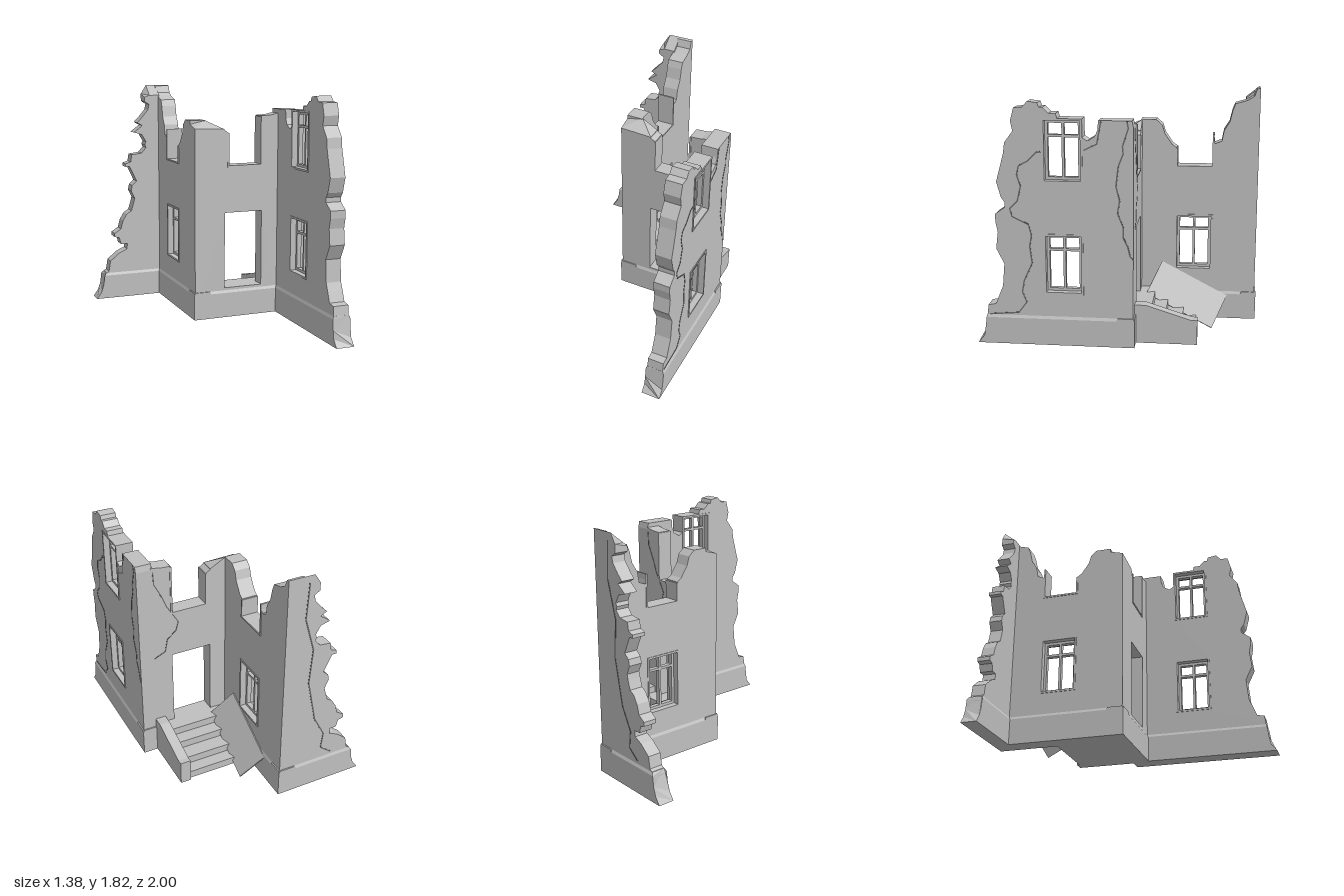
import * as THREE from 'three';
import { ConvexGeometry } from 'three/addons/geometries/ConvexGeometry.js';

const stone = new THREE.MeshStandardMaterial({ color: 0xc0c0c0, flatShading: true });
stone.name = 'pale stone';
const crackGrey = new THREE.MeshStandardMaterial({ color: 0x6c6c6c, flatShading: true });
crackGrey.name = 'crack grey';

const V = (x, y, z) => new THREE.Vector3(x, y, z);
const toShape = pts => new THREE.Shape(pts.map(p => new THREE.Vector2(p[0], p[1])));
const rect = (a0, a1, y0, y1) => [[a0, y0], [a1, y0], [a1, y1], [a0, y1]];

export function createModel() {
  const group = new THREE.Group();

  const add = (name, geometry, material = stone) => {
    const mesh = new THREE.Mesh(geometry, material);
    mesh.name = name;
    group.add(mesh);
    return mesh;
  };

  // Extrudes an upright outline; axis is the direction the wall runs in,
  // from and to are its limits across the thickness.
  const upright = (name, axis, outline, holes, from, to, material) => {
    const shape = toShape(outline);
    holes.forEach(h => shape.holes.push(toShape(h)));
    const geo = new THREE.ExtrudeGeometry(shape, { depth: to - from, bevelEnabled: false });
    if (axis === 'x') geo.translate(0, 0, from);
    else geo.rotateY(-Math.PI / 2).translate(to, 0, 0);
    return add(name, geo, material);
  };

  // Plinth with chamfered top; ends are lengths at each height, so they can be broken
  const heights = [0.045, 0.1, 0.16, 0.24, 0.26];
  const plinth = (name, axis, start, ends, centre, half) => {
    const side = heights.map((y, i) => [i === 4 ? half - 0.01 : half, y]);
    const section = [...side, ...side.map(([w, y]) => [-w, y]).reverse()];
    const geo = new THREE.ExtrudeGeometry(toShape(section), { depth: 1, bevelEnabled: false });
    const mirrored = (axis === 'x') !== (ends[0] < start);
    const p = geo.attributes.position;
    for (let i = 0; i < p.count; i++) {
      const y = p.getY(i), w = p.getX(i);
      const level = heights.findIndex(h => Math.abs(h - y) < 0.001);
      const along = p.getZ(i) > 0.5 ? ends[level] : start;
      if (axis === 'x') p.setXYZ(i, along, y, centre + w);
      else p.setXYZ(i, centre + w, y, along);
    }
    // swapping axes or running backwards turns faces inside out
    if (mirrored) {
      for (let i = 0; i < p.count; i += 3) {
        const a = V().fromBufferAttribute(p, i), b = V().fromBufferAttribute(p, i + 1);
        p.setXYZ(i, b.x, b.y, b.z);
        p.setXYZ(i + 1, a.x, a.y, a.z);
      }
    }
    geo.computeVertexNormals();
    return add(name, geo);
  };
  const whole = end => heights.map(() => end);

  // Casing, sash, mullion and transom
  const windowUnit = (name, a0, a1, y0, y1, from, to) => {
    const c = 0.015, s = 0.035, m = (a0 + a1) / 2, t = y0 + (y1 - y0) * 0.72, b = 0.009;
    upright(name + 'Casing', 'z', rect(a0, a1, y0, y1),
      [rect(a0 + c, a1 - c, y0 + c, y1 - c)], from - 0.005, to + 0.005);
    const panes = [];
    for (const [l, r] of [[a0 + s, m - b], [m + b, a1 - s]])
      for (const [d, u] of [[y0 + s, t - b], [t + b, y1 - s]]) panes.push(rect(l, r, d, u));
    const mid = (from + to) / 2;
    upright(name + 'Sash', 'z', rect(a0 + c, a1 - c, y0 + c, y1 - c), panes, mid - 0.018, mid + 0.018);
  };

  // Sill and broken jambs left from a window
  const brokenCasing = (name, axis, a0, a1, y, top0, top1, from, to) => {
    const c = 0.013;
    upright(name, axis, [[a0, y], [a1, y], [a1, top1], [a1 - c, top1], [a1 - c, y + c],
      [a0 + c, y + c], [a0 + c, top0], [a0, top0]], [], from - 0.005, to + 0.005);
  };

  // Thin ribbon following a crack line
  const crack = (name, axis, pts, from, to, width = 0.01) => {
    const left = [], right = [];
    pts.forEach((p, i) => {
      const a = pts[Math.max(i - 1, 0)], b = pts[Math.min(i + 1, pts.length - 1)];
      const dx = b[0] - a[0], dy = b[1] - a[1], k = width / 2 / Math.hypot(dx, dy);
      left.push([p[0] - dy * k, p[1] + dx * k]);
      right.unshift([p[0] + dy * k, p[1] - dx * k]);
    });
    upright(name, axis, [...left, ...right], [], from, to, crackGrey);
  };

  // Rear wall with a ragged free edge
  const rear = upright('rearWall', 'x', [[-0.12, 0.05], [-0.62, 0.05], [-0.615, 0.23], [-0.605, 0.255],
    [-0.58, 0.275], [-0.565, 0.36], [-0.485, 0.425], [-0.42, 0.455], [-0.415, 0.5], [-0.47, 0.5],
    [-0.485, 0.555], [-0.525, 0.565], [-0.525, 0.595], [-0.47, 0.63], [-0.45, 0.7], [-0.415, 0.755],
    [-0.375, 0.78], [-0.355, 0.845], [-0.345, 0.885], [-0.375, 0.95], [-0.365, 0.995], [-0.325, 1.03],
    [-0.385, 1.155], [-0.42, 1.155], [-0.42, 1.18], [-0.375, 1.195], [-0.365, 1.255], [-0.28, 1.265],
    [-0.24, 1.31], [-0.25, 1.335], [-0.24, 1.36], [-0.275, 1.42], [-0.345, 1.44], [-0.27, 1.495],
    [-0.315, 1.52], [-0.275, 1.56], [-0.22, 1.625], [-0.21, 1.67], [-0.25, 1.695], [-0.25, 1.755],
    [-0.205, 1.825], [-0.12, 1.825]], [], -0.99, -0.89);
  // top slopes down towards the inside
  const rp = rear.geometry.attributes.position;
  for (let i = 0; i < rp.count; i++)
    if (rp.getZ(i) > -0.9 && rp.getY(i) > 1.75) rp.setY(i, rp.getY(i) > 1.8 ? 1.745 : 1.73);
  rear.geometry.computeVertexNormals();
  plinth('rearPlinth', 'x', 0, [-0.69, -0.65, -0.63, -0.62, -0.605], -0.94, 0.06);

  // Middle wall with one whole window and one broken opening
  upright('middleWall', 'z', [[-0.99, 0.05], [-0.11, 0.05], [-0.11, 1.585], [-0.225, 1.585],
    [-0.27, 1.545], [-0.29, 1.48], [-0.345, 1.4], [-0.38, 1.375], [-0.38, 1.23], [-0.655, 1.23],
    [-0.655, 1.47], [-0.665, 1.41], [-0.715, 1.43], [-0.73, 1.51], [-0.77, 1.575], [-0.79, 1.66],
    [-0.81, 1.71], [-0.895, 1.735], [-0.945, 1.765], [-0.965, 1.82], [-0.99, 1.825]],
  [rect(-0.655, -0.38, 0.43, 0.86)], -0.13, -0.01);
  windowUnit('middleWindow', -0.66, -0.375, 0.425, 0.865, -0.13, -0.01);
  brokenCasing('middleBrokenCasing', 'z', -0.66, -0.375, 1.225, 1.48, 1.37, -0.13, -0.01);
  plinth('middlePlinth', 'z', -1, whole(0), -0.07, 0.07);

  // Door wall
  upright('doorWall', 'x', [[-0.13, 0.05], [0.57, 0.05], [0.57, 1.635], [0.5, 1.62], [0.42, 1.615],
    [0.42, 1.235], [0.145, 1.235], [0.145, 1.49], [0.11, 1.515], [0.015, 1.5], [-0.13, 1.525]],
  [rect(0.115, 0.425, 0.28, 0.875)], -0.12, -0.01);
  brokenCasing('doorWallBrokenCasing', 'x', 0.138, 0.427, 1.228, 1.49, 1.61, -0.12, -0.01);
  plinth('doorWallPlinth', 'x', -0.14, whole(0.69), -0.065, 0.065);
  add('brokenCornerCap', new ConvexGeometry([V(-0.13, 1.53, -0.01), V(0.015, 1.505, -0.01),
    V(0.11, 1.52, -0.01), V(0.11, 1.52, -0.12), V(-0.01, 1.585, -0.12), V(-0.13, 1.56, -0.12),
    V(-0.13, 1.48, -0.01), V(0.11, 1.48, -0.01), V(0.11, 1.48, -0.12), V(-0.13, 1.48, -0.12)]));

  // Front wing with two windows and a ragged free edge
  upright('wingWall', 'z', [[-0.12, 0.05], [0.93, 0.05], [0.93, 0.255], [0.92, 0.33], [0.865, 0.34],
    [0.835, 0.415], [0.81, 0.475], [0.795, 0.64], [0.85, 0.75], [0.835, 0.87], [0.85, 0.945],
    [0.85, 1.0], [0.78, 1.05], [0.78, 1.085], [0.805, 1.12], [0.835, 1.23], [0.78, 1.43],
    [0.77, 1.505], [0.71, 1.585], [0.725, 1.655], [0.7, 1.745], [0.64, 1.75], [0.605, 1.79],
    [0.535, 1.78], [0.525, 1.75], [0.5, 1.75], [0.46, 1.71], [0.41, 1.71], [0.4, 1.67],
    [0.505, 1.67], [0.505, 1.235], [0.235, 1.235], [0.235, 1.55], [0.195, 1.525], [0.145, 1.555],
    [0.125, 1.6], [0.12, 1.665], [-0.11, 1.665], [-0.12, 1.62]],
  [rect(0.235, 0.505, 0.43, 0.86)], 0.56, 0.68);
  windowUnit('wingLowerWindow', 0.23, 0.51, 0.425, 0.865, 0.56, 0.68);
  windowUnit('wingUpperWindow', 0.23, 0.51, 1.23, 1.675, 0.56, 0.68);
  plinth('wingPlinth', 'z', -0.13, [1, 0.955, 0.945, 0.935, 0.93], 0.62, 0.07);

  // Steps behind the door, with a side parapet
  const stepEdges = [-0.55, -0.455, -0.335, -0.235];
  stepEdges.forEach((z, i) => {
    const top = 0.045 + 0.235 * (i + 1) / 4;
    const geo = new THREE.BoxGeometry(0.52, top - 0.045, -0.12 - z);
    add('step', geo).position.set(0.25, (top + 0.045) / 2, (z - 0.12) / 2);
  });
  upright('stairParapet', 'z', [[-0.12, 0.045], [-0.57, 0.045], [-0.57, 0.228], [-0.53, 0.228],
    [-0.2, 0.33], [-0.12, 0.33]], [], 0.5, 0.58);

  // Fallen slab leaning on the middle wall
  const slab = [V(0, 0.49, -0.28), V(0, 0.228, -0.78), V(0.14, 0.01, -0.67), V(0.14, 0.272, -0.17)];
  const back = V(-0.013, -0.0065, 0.003);
  add('fallenSlab', new ConvexGeometry([...slab, ...slab.map(p => p.clone().add(back))]));

  // Cracks
  crack('wingLongCrack', 'z', [[0.52, 1.445], [0.55, 1.44], [0.61, 1.38], [0.675, 1.345], [0.69, 1.285],
    [0.665, 1.2], [0.69, 1.095], [0.745, 1.04], [0.73, 0.985], [0.615, 0.93], [0.595, 0.85],
    [0.61, 0.775], [0.595, 0.65], [0.655, 0.52], [0.67, 0.435], [0.64, 0.36], [0.7, 0.28],
    [0.91, 0.262]], 0.679, 0.682);
  crack('wingCornerCrack', 'z', [[-0.075, 1.665], [-0.085, 1.615], [-0.045, 1.49], [-0.05, 1.44],
    [-0.015, 1.35], [0, 1.215], [-0.025, 1.11], [-0.01, 1.025], [-0.05, 0.925], [-0.05, 0.85],
    [-0.08, 0.79], [-0.097, 0.72], [-0.118, 0.695]], 0.679, 0.682);
  crack('wingShortCrack', 'z', [[0.22, 1.46], [0.13, 1.505], [0.102, 1.66]], 0.679, 0.682);
  crack('doorWallCrack', 'x', [[0.555, 1.6], [0.55, 1.5], [0.49, 1.38], [0.46, 1.3], [0.37, 1.15],
    [0.39, 1.08], [0.46, 1.02], [0.48, 0.92], [0.57, 0.88]], -0.122, -0.119, 0.008);
  crack('rearWallCrack', 'x', [[-0.17, 1.77], [-0.155, 1.5], [-0.23, 1.24], [-0.21, 0.97],
    [-0.28, 0.635], [-0.365, 0.475], [-0.35, 0.35], [-0.44, 0.28]], -0.992, -0.989);

  return group;
}
